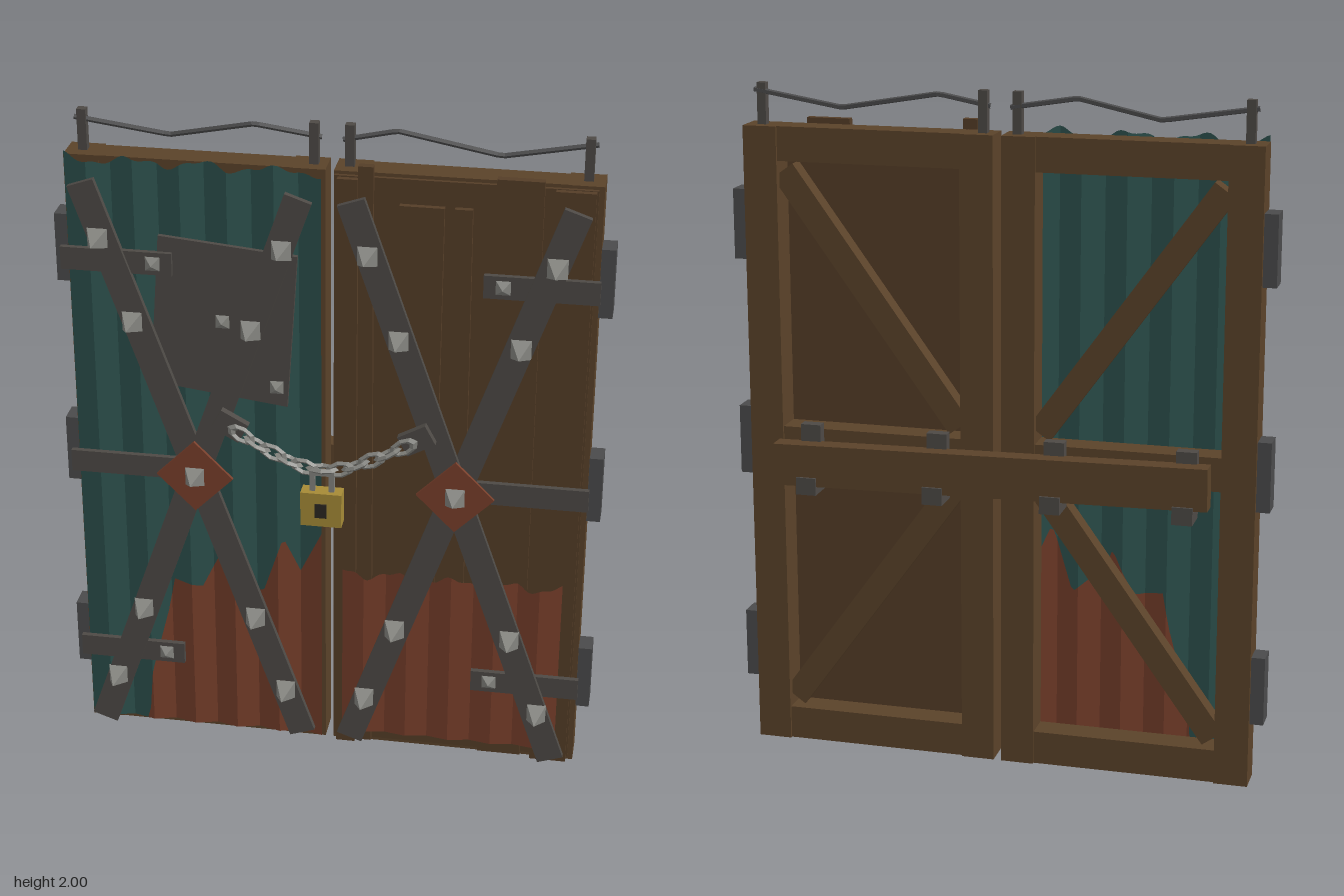
import * as THREE from 'three';

const mat = (name, color, side = THREE.FrontSide) => {
  const m = new THREE.MeshStandardMaterial({ color, side, flatShading: true });
  m.name = name;
  return m;
};

export function createModel() {
  const root = new THREE.Group();
  root.name = 'barricadedGate';
  const wood = mat('wood', 0x5a4229);
  const plankWood = mat('plankWood', 0x543d27);
  const teal = mat('tealPaint', 0x2e5450, THREE.DoubleSide);
  const rust = mat('rust', 0x783f2b, THREE.DoubleSide);
  const iron = mat('darkIron', 0x4d4945);
  const hingeIron = mat('hingeIron', 0x4a4a4b);
  const steel = mat('steel', 0x83837e);
  const brass = mat('brass', 0xa58a36);
  const black = mat('keyholeDark', 0x2b2620);

  const add = (name, geo, material, x = 0, y = 0, z = 0, rz = 0, parent = root) => {
    const m = new THREE.Mesh(geo, material);
    m.name = name;
    m.position.set(x, y, z);
    m.rotation.z = rz;
    parent.add(m);
    return m;
  };
  // Box given by its limits
  const box = (name, material, x0, x1, y0, y1, z0, z1) =>
    add(name, new THREE.BoxGeometry(Math.abs(x1 - x0), y1 - y0, z1 - z0), material,
      (x0 + x1) / 2, (y0 + y1) / 2, (z0 + z1) / 2);
  // Flat bar running between two points in the xy plane
  const bar = (name, material, ax, ay, bx, by, width, z0, z1) =>
    add(name, new THREE.BoxGeometry(Math.hypot(bx - ax, by - ay), width, z1 - z0), material,
      (ax + bx) / 2, (ay + by) / 2, (z0 + z1) / 2, Math.atan2(by - ay, bx - ax));
  // Four-sided pyramid pointing to the front
  const spike = (name, x, y, z, size, height, material) => {
    const g = new THREE.ConeGeometry(size * Math.SQRT1_2, height, 4);
    g.rotateY(Math.PI / 4).rotateX(Math.PI / 2);
    add(name, g, material, x, y, z + height / 2);
  };
  // Folded metal sheet between a lower and an upper edge
  const sheet = (name, material, x0, x1, n, lo, hi, zAt) => {
    const p = [], idx = [];
    for (let i = 0; i <= n; i++) {
      const x = x0 + ((x1 - x0) * i) / n;
      p.push(x, lo(x), zAt(x), x, Math.max(lo(x), hi(x)), zAt(x));
      if (i < n) {
        const a = 2 * i;
        idx.push(a, a + 2, a + 1, a + 1, a + 2, a + 3);
      }
    }
    const g = new THREE.BufferGeometry();
    g.setAttribute('position', new THREE.Float32BufferAttribute(p, 3));
    g.setIndex(idx);
    const flat = g.toNonIndexed();
    flat.computeVertexNormals();
    add(name, flat, material);
  };
  const lerpPath = (pts) => (x) => {
    if (x <= pts[0][0]) return pts[0][1];
    for (let i = 1; i < pts.length; i++) {
      const [ax, ay] = pts[i - 1], [bx, by] = pts[i];
      if (x <= bx) return ay + ((by - ay) * (x - ax)) / (bx - ax);
    }
    return pts[pts.length - 1][1];
  };
  const fold = (x0, pitch, z, amp) => (x) => {
    const t = Math.abs((x - x0) / pitch) % 2;
    return z + amp * (t < 1 ? 2 * t - 1 : 3 - 2 * t);
  };

  for (const s of [-1, 1]) {
    // Timber frame with rails and back braces
    box('outerStile', wood, s * 0.655, s * 0.755, 0, 1.88, -0.093, 0);
    box('innerStile', wood, s * 0.012, s * 0.11, 0, 1.88, -0.093, 0);
    for (const [y0, y1] of [[0, 0.1], [0.89, 0.99], [1.78, 1.88]])
      box('rail', wood, s * 0.11, s * 0.655, y0, y1, -0.085, -0.002);
    bar('upperBrace', wood, s * 0.12, 1.02, s * 0.645, 1.75, 0.075, -0.07, -0.015);
    bar('lowerBrace', wood, s * 0.12, 0.86, s * 0.645, 0.13, 0.075, -0.07, -0.015);

    // Hinges and their straps
    for (const [y, end] of [[1.59, 0.44], [0.94, 0.38], [0.295, 0.44]]) {
      box('hinge', hingeIron, s * 0.75, s * 0.795, y - 0.103, y + 0.103, -0.08, -0.01);
      box('hingeStrap', iron, s * end, s * 0.762, y - 0.034, y + 0.034, 0.047, 0.063);
      if (end > 0.4) spike('strapRivet', s * 0.495, y, 0.063, 0.042, 0.022, steel);
    }

    // Crossed bars with spikes
    bar('crossBar', iron, s * 0.692, 1.825, s * 0.073, 0.055, 0.08, 0.056, 0.074);
    bar('crossBar', iron, s * 0.073, 1.825, s * 0.692, 0.055, 0.08, 0.074, 0.092);
    for (const y of [1.67, 1.42, 0.47, 0.22]) {
      const d = 0.35 * (Math.abs(y - 0.945) / 0.97);
      for (const k of [-1, 1])
        spike('spike', s * 0.382 + k * d, y, 0.09, 0.058, 0.075, steel);
    }
    add('centerDiamond', new THREE.BoxGeometry(0.16, 0.16, 0.01), rust, s * 0.382, 0.94, 0.097, Math.PI / 4);
    spike('centerSpike', s * 0.382, 0.94, 0.1, 0.058, 0.065, steel);

    // Top posts
    for (const x of [0.05, 0.708])
      box('topPost', iron, s * x - 0.013, s * x + 0.013, 1.87, 2, -0.06, -0.035);

    // Chain: anchor, then alternating links sagging to the middle
    add('chainAnchor', new THREE.BoxGeometry(0.09, 0.065, 0.024), iron, s * 0.27, 1.125, 0.112, s * 0.5);
    const yAt = (x) => 1.005 + 0.115 * Math.pow(x / 0.26, 1.4);
    for (let i = 0; i < 5; i++) {
      const x = 0.235 - i * 0.046;
      const slope = Math.atan2(yAt(x + 0.02) - yAt(x - 0.02), 0.04);
      const g = new THREE.TorusGeometry(0.019, 0.0075, 4, 8);
      g.scale(1.75, 1, 1);
      if (i % 2) g.rotateX(Math.PI / 2);
      add('chainLink', g, steel, s * x, yAt(x), 0.128, s * slope);
    }
  }

  // Barbed wire lines on the posts
  for (const pts of [
    [[-0.73, 1.975], [-0.46, 1.935], [-0.22, 1.985], [-0.03, 1.955]],
    [[0.03, 1.955], [0.18, 1.985], [0.47, 1.935], [0.73, 1.98]],
  ]) {
    const path = new THREE.CurvePath();
    const v = pts.map(([x, y], i) => new THREE.Vector3(x, y, i % 2 ? -0.055 : -0.045));
    for (let i = 1; i < v.length; i++) path.add(new THREE.LineCurve3(v[i - 1], v[i]));
    add('topWire', new THREE.TubeGeometry(path, 36, 0.008, 5), hingeIron);
  }

  // Painted corrugated sheet with a rusted lower part
  const rustEdge = lerpPath([[-0.565, 0.02], [-0.55, 0.2], [-0.53, 0.28], [-0.49, 0.44], [-0.475, 0.535],
    [-0.385, 0.52], [-0.32, 0.655], [-0.3, 0.6], [-0.2, 0.515], [-0.135, 0.715], [-0.085, 0.6], [-0.015, 0.75]]);
  const topEdge = (x) => 1.878 + 0.012 * Math.sin(x * 31) + 0.006 * Math.sin(x * 73);
  const bottomEdge = () => 0.022;
  const leftFold = fold(-0.75, 0.0665, 0.024, 0.009);
  sheet('paintedSheet', teal, -0.75, -0.0185, 66, (x) => Math.max(bottomEdge(), rustEdge(x)), topEdge, leftFold);
  sheet('rustedSheet', rust, -0.75, -0.0185, 66, bottomEdge, rustEdge, leftFold);

  // Riveted patch plate
  const patch = new THREE.Shape([[-0.515, 1.215], [-0.115, 1.165], [-0.083, 1.635], [-0.48, 1.672]]
    .map(([x, y]) => new THREE.Vector2(x, y)));
  add('patchPlate', new THREE.ExtrudeGeometry(patch, { depth: 0.014, bevelEnabled: false }), iron, 0, 0, 0.036);
  for (const [x, y] of [[-0.3, 1.42], [-0.145, 1.225]]) spike('patchRivet', x, y, 0.05, 0.04, 0.02, steel);

  // Plank facing
  box('plankBacking', plankWood, 0.015, 0.74, 0.02, 1.872, 0.003, 0.014);
  for (const [x0, x1, y0, y1, lean] of [
    [0.025, 0.083, 0.01, 1.868, 0], [0.088, 0.13, 0.02, 1.908, 0.004], [0.195, 0.32, 0.05, 1.8, -0.004],
    [0.355, 0.405, 0.05, 1.8, 0.004], [0.465, 0.595, 0.02, 1.895, 0], [0.625, 0.735, 0.01, 1.87, 0]])
    box('plank', plankWood, x0, x1, y0, y1, 0.008, 0.031).rotation.z = lean;

  // Rusted kick sheet
  sheet('kickSheet', rust, 0.045, 0.7, 60, () => 0.06,
    (x) => 0.622 + 0.012 * Math.sin(x * 38) + 0.006 * Math.sin(x * 91), fold(0.045, 0.0655, 0.042, 0.006));

  // Padlock
  box('lockBody', brass, -0.06, 0.06, 0.838, 0.945, 0.105, 0.153);
  box('keyhole', black, -0.017, 0.017, 0.868, 0.912, 0.151, 0.158);
  for (const s of [-1, 1]) box('shackleSide', steel, s * 0.02, s * 0.036, 0.94, 1.0, 0.121, 0.137);
  box('shackleTop', steel, -0.036, 0.036, 0.995, 1.012, 0.121, 0.137);
  const middle = new THREE.TorusGeometry(0.02, 0.0075, 4, 8);
  middle.scale(1.8, 1, 1).rotateX(Math.PI / 2);
  add('middleLink', middle, steel, 0, 1.015, 0.128);

  // Locking beam held by hooks
  add('lockingBeam', new THREE.BoxGeometry(1.29, 0.125, 0.056), wood, 0.015, 0.905, -0.137, -0.015);
  for (const x of [-0.56, -0.175, 0.175, 0.56]) {
    box('hookBack', iron, x - 0.03, x + 0.03, 0.81, 1.01, -0.118, -0.085);
    box('hookBase', iron, x - 0.03, x + 0.03, 0.81, 0.845, -0.17, -0.095);
    box('hookLip', iron, x - 0.03, x + 0.03, 0.81, 0.862, -0.172, -0.16);
  }
  return root;
}
